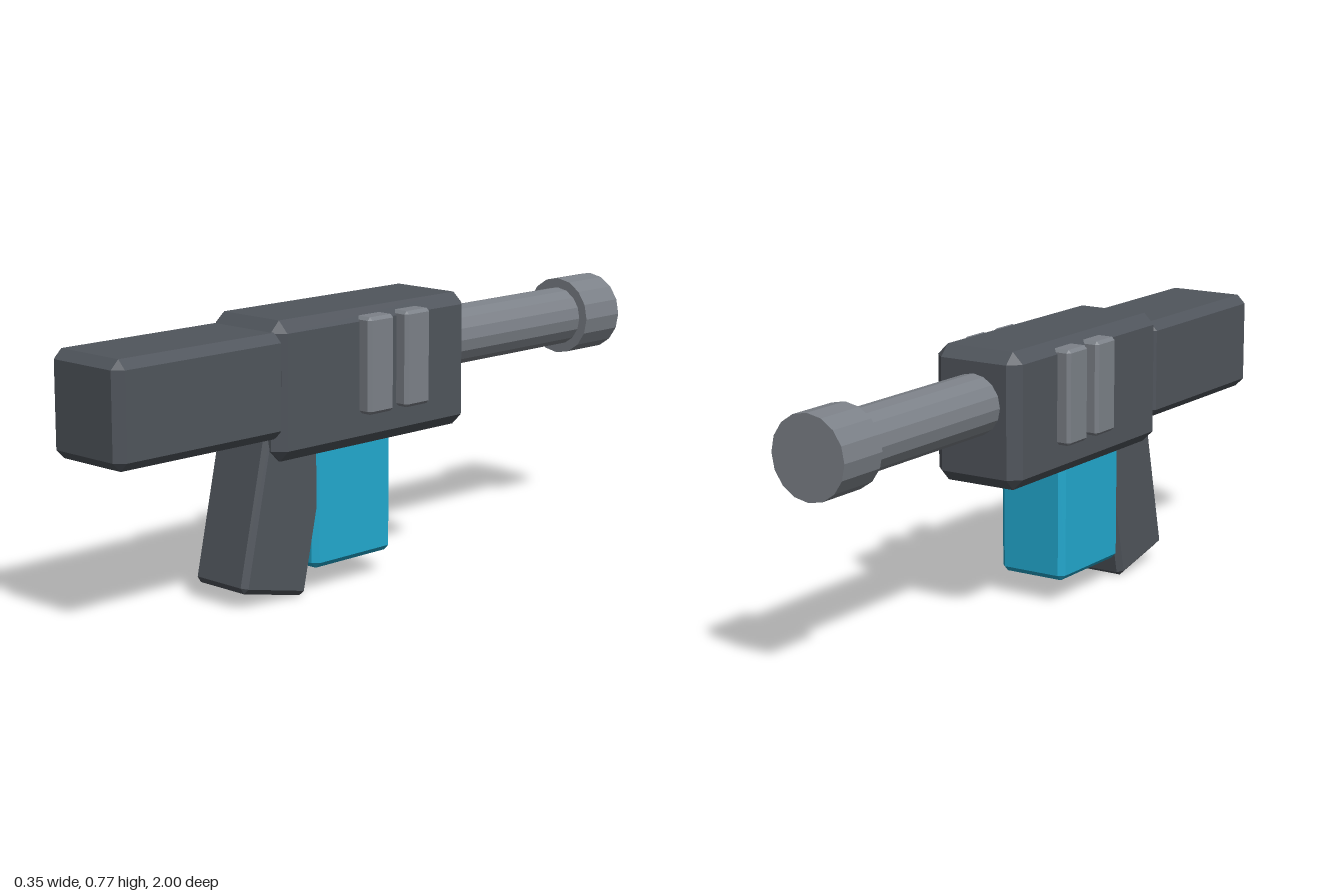
import * as THREE from 'three';
import { ConvexGeometry } from 'three/addons/geometries/ConvexGeometry.js';

const material = (color) => new THREE.MeshStandardMaterial({ color, flatShading: true });

// Box with flat 45 degree bevels: three inset corner points at each of the eight corners
function bevelBox(w, h, d, b) {
  const points = [];
  for (const sx of [-1, 1]) for (const sy of [-1, 1]) for (const sz of [-1, 1]) {
    const x = w / 2, y = h / 2, z = d / 2;
    points.push(
      new THREE.Vector3(sx * x, sy * (y - b), sz * (z - b)),
      new THREE.Vector3(sx * (x - b), sy * y, sz * (z - b)),
      new THREE.Vector3(sx * (x - b), sy * (y - b), sz * z));
  }
  return new ConvexGeometry(points);
}

export function createModel() {
  const model = new THREE.Group();
  model.name = 'toyBlaster';
  const dark = material(0x50555c);
  const metal = material(0x7c8188);
  const blue = material(0x22a9cf);

  function add(name, geometry, mat, x, y, z) {
    const mesh = new THREE.Mesh(geometry, mat);
    mesh.name = name;
    mesh.position.set(x, y, z);
    model.add(mesh);
    return mesh;
  }

  // Box given by its y and z limits, centred on x
  const block = (name, mat, w, y0, y1, z0, z1, b, x = 0) =>
    add(name, bevelBox(w, y1 - y0, z1 - z0, b), mat, x, (y0 + y1) / 2, (z0 + z1) / 2);

  // Round part along z
  const rod = (name, r, z0, z1) =>
    add(name, new THREE.CylinderGeometry(r, r, z1 - z0, 16).rotateX(Math.PI / 2),
      metal, 0, 0.623, (z0 + z1) / 2);

  // Main housing and stock
  block('body', dark, 0.276, 0.394, 0.774, -0.29, 0.455, 0.032);
  block('stock', dark, 0.272, 0.46, 0.745, 0.42, 1, 0.025);

  // Slanted grip
  const grip = add('grip', bevelBox(0.2, 0.5, 0.24, 0.015), dark, 0, 0.27, 0.383);
  grip.rotation.x = THREE.MathUtils.degToRad(-12.5);

  // Magazine
  block('magazine', blue, 0.212, 0.07, 0.46, -0.01, 0.292, 0.016);

  // Two raised ribs on each side
  for (const side of [-1, 1]) for (const z of [-0.04, 0.104]) {
    block('sideRib', metal, 0.08, 0.488, 0.756, z - 0.049, z + 0.049, 0.009, side * 0.137);
  }

  // Barrel and muzzle
  rod('barrel', 0.086, -0.86, -0.2);
  rod('muzzle', 0.114, -1, -0.847);

  return model;
}
